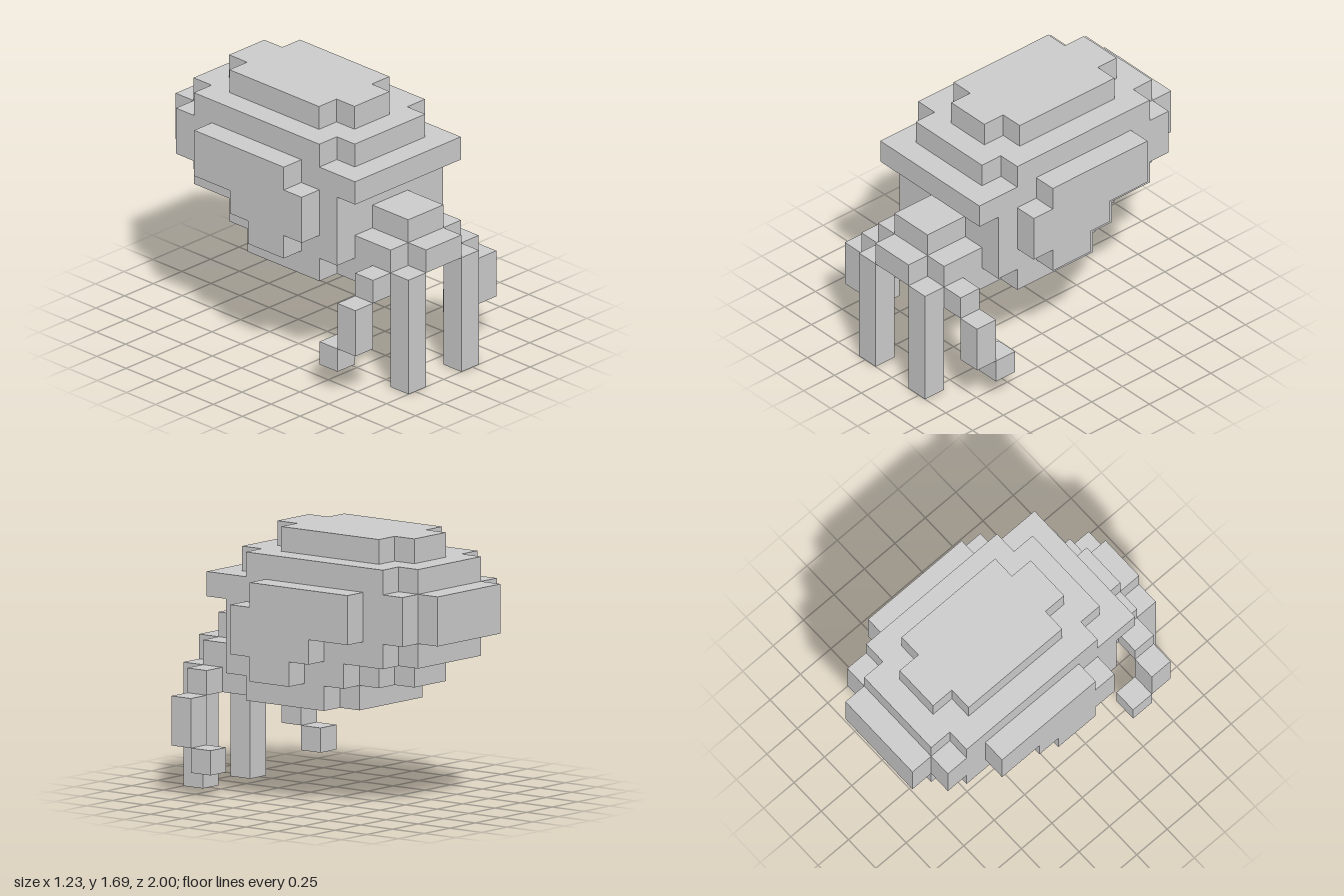
import * as THREE from 'three';

const U = 2 / 13; // one block

export function createModel() {
  const model = new THREE.Group();
  model.name = 'blockCreature';
  const material = new THREE.MeshStandardMaterial({ color: 0xcccccc, flatShading: true });

  // All sizes are in blocks: x from the middle, y from the ground, z from the back (0) to the front (13).
  const add = (name, geometry) => {
    geometry.translate(0, 0, -6.5).scale(U, U, U);
    const mesh = new THREE.Mesh(geometry, material);
    mesh.name = name;
    model.add(mesh);
  };
  const extrude = (points, depth) => new THREE.ExtrudeGeometry(
    new THREE.Shape(points.map(([a, b]) => new THREE.Vector2(a, b))),
    { depth, bevelEnabled: false });

  // Horizontal layer: half a plan outline [x, z], mirrored across the middle
  const layer = (name, y, height, half) => {
    const right = half.map(([x, z]) => [x, -z]);
    const left = half.map(([x, z]) => [-x, -z]).reverse();
    add(name, extrude([...right, ...left], height).rotateX(-Math.PI / 2).translate(0, y, 0));
  };
  const block = (name, x0, x1, y0, y1, z0, z1) => add(name,
    new THREE.BoxGeometry(x1 - x0, y1 - y0, z1 - z0)
      .translate((x0 + x1) / 2, (y0 + y1) / 2, (z0 + z1) / 2));

  // Rounded body, built up layer by layer
  layer('bellyLayer', 4, 1, [[2, 4], [2, 5], [3, 5], [3, 9], [2, 9], [2, 11]]);
  layer('lowerBodyLayer', 5, 1, [[1, 2], [1, 3], [2, 3], [2, 4], [3, 4], [3, 10]]);
  layer('middleBodyLayer', 6, 1, [[2, 1], [2, 2], [3, 2], [3, 10]]);
  layer('upperBodyLayer', 7, 1, [[2, 0], [2, 1], [3, 1], [3, 10]]);
  layer('browLayer', 8, 1, [[2, 0], [2, 1], [3, 1], [3, 11]]);
  layer('shoulderLayer', 9, 1, [[2, 1], [2, 2], [3, 2], [3, 9], [2, 9], [2, 10]]);
  layer('crownLayer', 10, 1, [[1, 2], [1, 3], [2, 3], [2, 8], [1, 8], [1, 9]]);

  // Snout
  layer('snout', 5, 1, [[2, 10], [2, 12], [1, 12], [1, 13]]);
  layer('snoutTop', 6, 1, [[1, 10], [1, 12]]);

  // Stepped side panels, outline as [z, y]
  const panel = [[3, 9], [8, 9], [8, 8], [9, 8], [9, 6], [8, 6], [8, 5], [6, 5],
    [6, 6], [5, 6], [5, 7], [3, 7]];

  for (const [side, s] of [['left', 1], ['right', -1]]) {
    add(side + 'SidePanel', extrude(panel, 1).rotateY(-Math.PI / 2).translate(s > 0 ? 4 : -3, 0, 0));
    const pair = (name, x, ...rest) =>
      block(side + name, s > 0 ? x : -x - 1, s > 0 ? x + 1 : -x, ...rest);
    // Long front tentacle
    pair('FrontTentacle', 1, 0, 5, 12, 13);
    // Outer tentacle, curling back at the tip
    pair('OuterTentacleRoot', 2, 4, 5, 11, 12);
    pair('OuterTentacle', 3, 2, 4, 11, 12);
    pair('OuterTentacleTip', 3, 1, 2, 10, 11);
  }
  return model;
}
